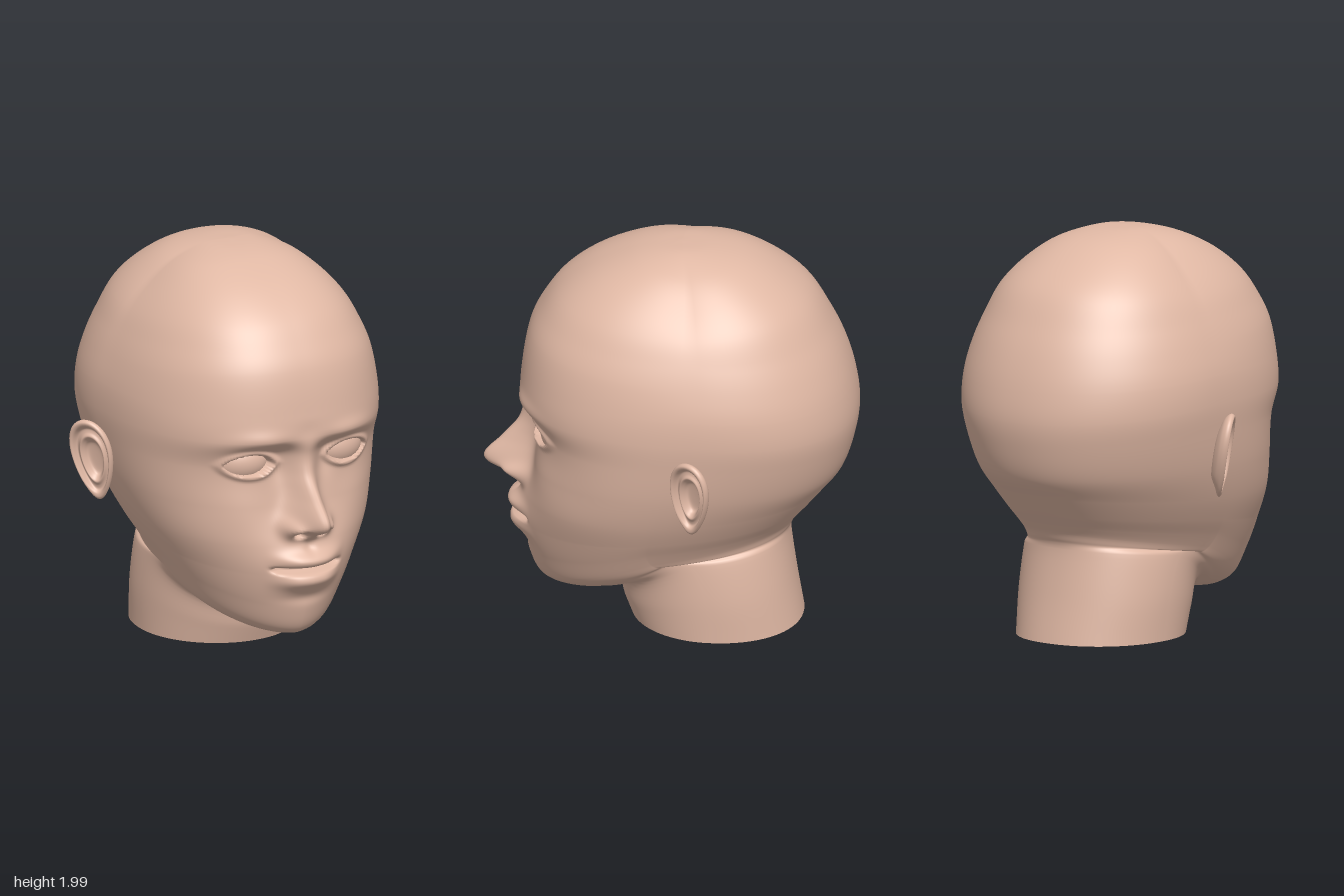
import * as THREE from 'three';
import { mergeVertices } from 'three/addons/utils/BufferGeometryUtils.js';

const skin = new THREE.MeshStandardMaterial({ color: 0xe0b8a4, side: THREE.DoubleSide });

// Rings from crown to neck: front z, y | side x, y, z | back z, y
const RINGS = [
  [-0.05, 2.0, 0, 2.0, -0.05, -0.05, 2.0],
  [0.09, 1.985, 0.14, 1.99, -0.07, -0.22, 1.992],
  [0.21, 1.955, 0.3, 1.92, -0.1, -0.38, 1.955],
  [0.4, 1.87, 0.43, 1.81, -0.12, -0.54, 1.87],
  [0.55, 1.755, 0.525, 1.7, -0.13, -0.69, 1.745],
  [0.635, 1.64, 0.585, 1.59, -0.14, -0.79, 1.58],
  [0.69, 1.53, 0.632, 1.47, -0.15, -0.85, 1.45],
  [0.725, 1.345, 0.665, 1.34, -0.16, -0.895, 1.3],
  [0.73, 1.2, 0.672, 1.2, -0.15, -0.915, 1.14],
  [0.665, 1.05, 0.655, 1.05, -0.1, -0.895, 1.0],
  [0.665, 0.85, 0.62, 0.86, -0.02, -0.845, 0.85],
  [0.71, 0.66, 0.57, 0.7, 0.04, -0.77, 0.75],
  [0.72, 0.5, 0.515, 0.58, 0.07, -0.69, 0.65],
  [0.7, 0.33, 0.47, 0.5, 0.08, -0.64, 0.59],
  [0.64, 0.19, 0.435, 0.44, 0.06, -0.61, 0.55],
  [0.53, 0.15, 0.42, 0.42, 0.03, -0.595, 0.52],
  [0.39, 0.163, 0.41, 0.43, -0.02, -0.585, 0.5],
  [0.265, 0.2, 0.41, 0.42, -0.12, -0.58, 0.47],
  [0.23, 0.1, 0.412, 0.22, -0.2, -0.605, 0.25],
  [0.195, 0.01, 0.4, 0.01, -0.22, -0.645, 0.01],
];

const bell = (d, s) => Math.exp(-((d / s) ** 2));
const step = THREE.MathUtils.smoothstep;
const graph = (ys, vs) => {
  const f = new THREE.CubicInterpolant(new Float32Array(ys), new Float32Array(vs), 1);
  return (y) => f.evaluate(y)[0];
};
// Height of the nose above the face, by y
const noseHeight = graph(
  [0.6, 0.64, 0.675, 0.71, 0.76, 0.8, 0.9, 1.0, 1.06, 1.13, 1.22, 1.3],
  [0, 0, 0.015, 0.08, 0.21, 0.24, 0.17, 0.09, 0.06, 0.03, 0, 0]);

// Forward relief of the face at (x, y)
function relief(px, y) {
  const x = Math.abs(px);
  // Nose with wings and nostrils
  const width = 0.062 + 0.024 * step(1 - y, 0.05, 0.25);
  let d = noseHeight(y) * bell(x, width);
  d += 0.065 * bell(x - 0.098, 0.038) * bell(y - 0.745, 0.042);
  d -= 0.1 * bell(x - 0.058, 0.026) * bell(y - 0.718, 0.017);
  // Brow ridge and the hollow below it
  d += 0.02 * bell(x - 0.25, 0.16) * bell(y - 1.2 + 0.5 * (x - 0.25) ** 2, 0.045);
  d -= 0.03 * bell(x - 0.2, 0.13) * bell(y - 1.125, 0.045);
  d -= 0.025 * bell(x - 0.13, 0.05) * bell(y - 1.06, 0.09);
  // Almond eye opening with a raised lid rim
  const e = ((x - 0.27) / 0.115) ** 2 + (Math.abs(y - 1.068) / 0.053) ** 1.5;
  d += 0.018 * bell(e - 1.35, 0.45);
  d -= 0.075 * (1 - step(e, 0.75, 1.1));
  // Cheeks
  d += 0.018 * bell(x - 0.33, 0.14) * bell(y - 0.84, 0.13);
  // Muzzle, lips, mouth slit and philtrum
  d += 0.048 * bell(x, 0.2) * bell(y - 0.55, 0.13);
  const mouth = 1 - step(x, 0.06, 0.23);
  const line = 0.53 + 0.25 * x * x;
  d += 0.034 * mouth * bell(y - line - 0.052, 0.036);
  d += 0.034 * mouth * bell(y - line + 0.06, 0.042);
  d -= 0.085 * (1 - step(x, 0.12, 0.21)) * bell(y - line, 0.013);
  d -= 0.012 * bell(x, 0.025) * bell(y - 0.645, 0.03);
  d -= 0.012 * bell(x, 0.12) * bell(y - 0.375, 0.035);
  return d;
}

// Skull, face, jaw and open neck as one loft
function headGeometry() {
  const curve = (fn) => new THREE.CatmullRomCurve3(RINGS.map((r) => new THREE.Vector3(...fn(r))));
  const front = curve((r) => [0, r[1], r[0]]);
  const side = curve((r) => [r[2], r[3], r[4]]);
  const back = curve((r) => [0, r[6], r[5]]);

  // Angles round a ring, closer together at the front
  const half = [];
  const NF = 70, NB = 30;
  for (let i = 0; i < NF; i++) half.push((Math.PI / 2) * (i / NF) ** 1.15);
  for (let i = 0; i <= NB; i++) half.push((Math.PI / 2) * (1 + i / NB));
  const angles = [...half, ...half.slice(1, -1).reverse().map((a) => -a)];

  // Rows, closer together over the face
  const rows = [];
  for (let k = 0; k < RINGS.length - 1; k++) {
    const n = k >= 8 && k < 14 ? 20 : k === 7 ? 12 : 6;
    for (let i = 0; i < n; i++) rows.push(k + i / n);
  }
  rows.push(RINGS.length - 1);

  const pos = [], index = [], M = angles.length;
  rows.forEach((row, i) => {
    const t = row / (RINGS.length - 1);
    const f = front.getPoint(t), s = side.getPoint(t), b = back.getPoint(t);
    const nFront = 2.4 - 0.7 * step(row, 9, 14) + 0.3 * step(row, 15, 17);
    angles.forEach((a, j) => {
      const isFront = Math.abs(a) < Math.PI / 2;
      const end = isFront ? f : b;
      const p = 2 / (isFront ? nFront : 2.15);
      const c = Math.max(0, Math.abs(Math.cos(a))) ** p;
      const x = Math.abs(a) > 3.1415 ? 0 : s.x * Math.sign(a) * Math.abs(Math.sin(a)) ** p;
      const y = s.y + (end.y - s.y) * c;
      let z = s.z + (end.z - s.z) * c;
      if (isFront && row > 6 && row < 15) z += relief(x, y) * step(z, 0.3, 0.48);
      pos.push(x, y, z);
      if (i < rows.length - 1) {
        const j2 = (j + 1) % M, A = i * M + j, B = i * M + j2, C = A + M, D = B + M;
        if (i > 0) index.push(A, D, B);
        index.push(A, C, D);
      }
    });
  });
  let g = new THREE.BufferGeometry();
  g.setAttribute('position', new THREE.Float32BufferAttribute(pos, 3));
  g.setIndex(index);
  g = mergeVertices(g, 1e-5);
  g.computeVertexNormals();
  return g;
}

// Ear: a turned shell with rim and inner ridge, stretched to an egg and angled back
function earGeometry(s) {
  const profile = new THREE.SplineCurve([
    [0, -0.04], [0.5, -0.035], [0.85, -0.015], [0.98, 0.005], [1, 0.022], [0.94, 0.036],
    [0.85, 0.03], [0.77, 0.004], [0.67, 0.006], [0.57, 0.018], [0.47, 0], [0.35, -0.022], [0, -0.026],
  ].map((p) => new THREE.Vector2(...p))).getPoints(60);
  profile.forEach((p) => { p.x = Math.max(0, p.x); });
  let g = new THREE.LatheGeometry(profile, 48);
  g.deleteAttribute('uv');
  g.deleteAttribute('normal');
  const pos = g.attributes.position;
  const U = new THREE.Vector3(0.55, 0, -0.83);
  const N = new THREE.Vector3(0.83, 0, 0.55);
  const V = new THREE.Vector3(0.18, 0.98, 0.01);
  const p = new THREE.Vector3();
  for (let i = 0; i < pos.count; i++) {
    const v = -s * pos.getZ(i);
    const u = pos.getX(i) * (0.108 + 0.032 * v);
    // The lobe is fuller and flatter than the upper rim
    const lobe = step(-v, 0.45, 0.9);
    const h = pos.getY(i) * (1 - 0.4 * lobe) + 0.008 * lobe;
    p.set(0.7, 0.95, -0.155).addScaledVector(U, u).addScaledVector(V, v * 0.212).addScaledVector(N, h);
    pos.setXYZ(i, s * p.x, p.y, p.z);
  }
  g = mergeVertices(g, 1e-5);
  g.computeVertexNormals();
  return g;
}

export function createModel() {
  const model = new THREE.Group();
  model.name = 'humanHead';
  const add = (name, geometry) => {
    const mesh = new THREE.Mesh(geometry, skin);
    mesh.name = name;
    model.add(mesh);
    return mesh;
  };

  add('headAndNeck', headGeometry());

  for (const [s, label] of [[1, 'left'], [-1, 'right']]) {
    add(label + 'Ear', earGeometry(s));
    const eye = add(label + 'Eye', new THREE.SphereGeometry(1, 40, 28));
    eye.scale.set(0.145, 0.11, 0.105);
    eye.position.set(s * 0.27, 1.068, 0.512);
    eye.rotation.y = s * 0.3;
  }

  // Hollow of the mouth, seen through the open neck
  const mouth = add('mouthCavity', new THREE.SphereGeometry(1, 32, 20));
  mouth.scale.set(0.22, 0.1, 0.3);
  mouth.position.set(0, 0.5, 0.34);
  return model;
}
